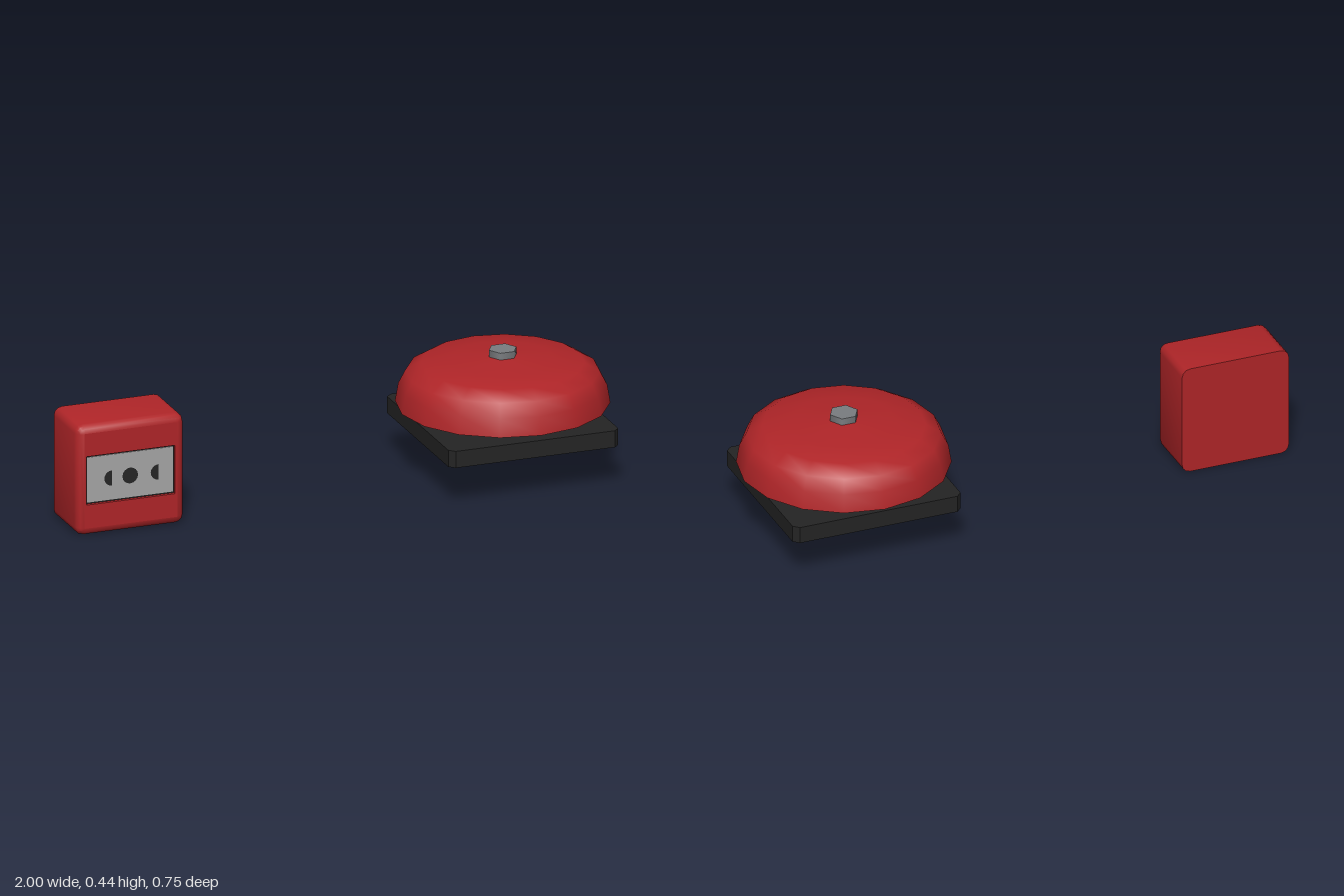
import * as THREE from 'three';
import { toCreasedNormals } from 'three/addons/utils/BufferGeometryUtils.js';

// Rounded rectangle outline, counterclockwise, with n steps per corner
function outline(hw, hh, r, n) {
  const pts = [];
  [[1, 1], [-1, 1], [-1, -1], [1, -1]].forEach(([sx, sy], k) => {
    for (let i = 0; i <= n; i++) {
      const a = (k + i / n) * Math.PI / 2;
      pts.push(new THREE.Vector2(sx * (hw - r) + r * Math.cos(a), sy * (hh - r) + r * Math.sin(a)));
    }
  });
  return pts;
}

// Skin between successive outlines, each { pts, z }
function loft(loops, crease) {
  const pos = [];
  for (let k = 0; k + 1 < loops.length; k++) {
    const a = loops[k], b = loops[k + 1], n = a.pts.length;
    for (let i = 0; i < n; i++) {
      const j = (i + 1) % n;
      const v = (l, m) => [l.pts[m].x, l.pts[m].y, l.z];
      pos.push(...v(a, i), ...v(a, j), ...v(b, j), ...v(a, i), ...v(b, j), ...v(b, i));
    }
  }
  const g = new THREE.BufferGeometry();
  g.setAttribute('position', new THREE.Float32BufferAttribute(pos, 3));
  return toCreasedNormals(g, crease);
}

export function createModel() {
  const mat = (name, color, side = THREE.FrontSide) => {
    const m = new THREE.MeshStandardMaterial({ color, side });
    m.name = name;
    return m;
  };
  const red = mat('red', 0xb02528, THREE.DoubleSide);
  const black = mat('black', 0x242424, THREE.DoubleSide);
  const steel = mat('steel', 0x7a7d80);
  const grey = mat('pale grey', 0xa6a6a6);

  const model = new THREE.Group();
  const add = (parent, name, geo, material, x = 0, y = 0, z = 0) => {
    const m = new THREE.Mesh(geo, material);
    m.name = name;
    m.position.set(x, y, z);
    parent.add(m);
    return m;
  };

  // Bell
  const bell = new THREE.Group();
  bell.name = 'bell';
  bell.position.x = 0.625;
  model.add(bell);

  const profile = [[0.373, 0.25], [0.362, 0.315], [0.337, 0.364], [0.284, 0.396],
    [0.18, 0.407], [0.05, 0.42], [0, 0.42]].map(p => new THREE.Vector2(...p));
  add(bell, 'dome', new THREE.LatheGeometry(profile, 16), red);
  add(bell, 'bolt', new THREE.CylinderGeometry(0.051, 0.051, 0.027, 6, 1, false, Math.PI / 2)
    .toNonIndexed(), steel, 0, 0.4315, 0);

  // Hollow square base with an open collar rising into the dome
  const plate = outline(0.315, 0.315, 0.02, 1);
  const collar = outline(0.132, 0.132, 0.012, 1);
  const base = loft([{ pts: plate, z: 0.149 }, { pts: plate, z: 0.21 },
    { pts: collar, z: 0.21 }, { pts: collar, z: 0.295 }], 0.1);
  base.rotateX(-Math.PI / 2);
  add(bell, 'base', base, black);

  // Wall call box
  const box = new THREE.Group();
  box.name = 'callBox';
  box.position.set(-0.8, 0.202, 0);
  model.add(box);

  const W = 0.2, H = 0.202, R = 0.03, BACK = -0.103, FRONT = 0.121;
  const ring = (inset, z) => ({ pts: outline(W - inset, H - inset, R - inset, 3), z });
  const back = ring(0, BACK), front = ring(0.028, FRONT);
  add(box, 'boxSides', loft([back, ring(0, 0.093), ring(0.004, 0.107),
    ring(0.014, 0.117), front], 0.62), red);
  const backCap = new THREE.ShapeGeometry(new THREE.Shape(back.pts));
  backCap.rotateY(Math.PI);
  add(box, 'boxBack', backCap, red, 0, 0, BACK);

  // Front face with a shallow window recess
  const win = [[0.164, 0.09], [-0.164, 0.09], [-0.164, -0.088], [0.164, -0.088]]
    .map(p => new THREE.Vector2(...p));
  const face = new THREE.Shape(front.pts);
  face.holes.push(new THREE.Path(win));
  add(box, 'boxFront', new THREE.ShapeGeometry(face), red, 0, 0, FRONT);
  add(box, 'windowRim', loft([{ pts: win, z: FRONT }, { pts: win, z: 0.109 }], 0.1), red);
  add(box, 'windowBorder', new THREE.ShapeGeometry(new THREE.Shape(win)), black, 0, 0, 0.109);
  add(box, 'windowPlate', new THREE.BoxGeometry(0.318, 0.166, 0.003), grey, 0, 0.001, 0.1115);

  // Marks on the window plate
  add(box, 'centreMark', new THREE.CircleGeometry(0.029, 16), black, 0, -0.002, 0.1145);
  for (const x of [-0.068, 0.104]) {
    add(box, 'sideMark', new THREE.CircleGeometry(0.028, 8, Math.PI / 2, Math.PI),
      black, x, -0.002, 0.1145);
  }
  return model;
}
